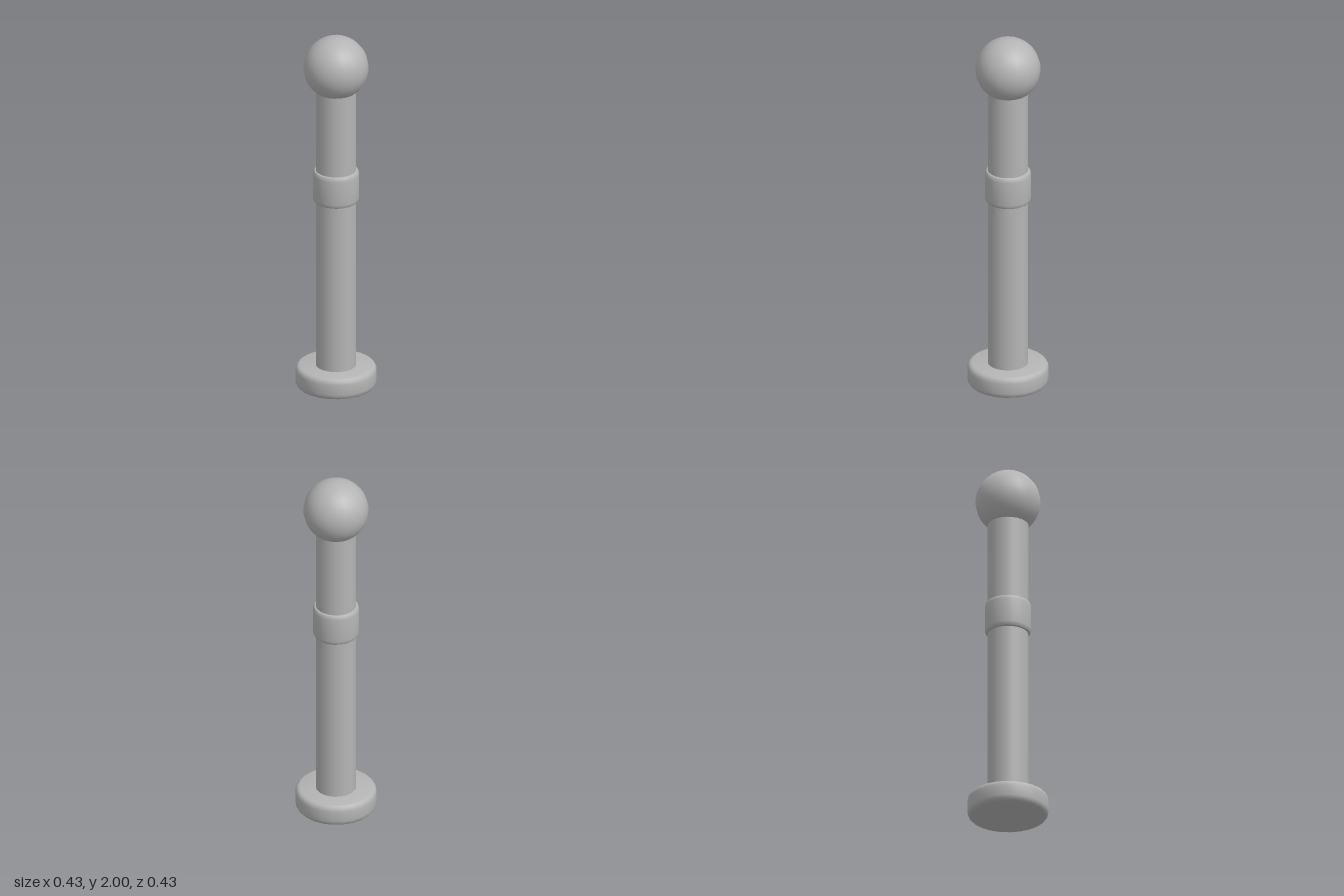
import * as THREE from 'three';
import { toCreasedNormals } from 'three/addons/utils/BufferGeometryUtils.js';

const SIDES = 24;

// Closed disc with rounded top and bottom rims
function roundedDisc(radius, bottom, top, bevelR, bevelY) {
  const points = [new THREE.Vector2(0, bottom)];
  const steps = 3;
  for (let i = 0; i <= steps; i++) {
    const a = (i / steps) * Math.PI / 2;
    points.push(new THREE.Vector2(radius - bevelR * (1 - Math.sin(a)), bottom + bevelY * (1 - Math.cos(a))));
  }
  for (let i = 0; i <= steps; i++) {
    const a = (i / steps) * Math.PI / 2;
    points.push(new THREE.Vector2(radius - bevelR * (1 - Math.cos(a)), top - bevelY * (1 - Math.sin(a))));
  }
  points.push(new THREE.Vector2(0, top));
  return toCreasedNormals(new THREE.LatheGeometry(points, SIDES), 0.6);
}

export function createModel() {
  const group = new THREE.Group();
  const grey = new THREE.MeshStandardMaterial({ color: 0xb4b4b4 });
  grey.name = 'grey metal';

  const add = (name, geometry, y = 0) => {
    const mesh = new THREE.Mesh(geometry, grey);
    mesh.name = name;
    mesh.position.y = y;
    group.add(mesh);
  };

  // Foot, shaft, middle band and ball top
  add('base', roundedDisc(0.215, 0, 0.118, 0.024, 0.03));
  add('shaft', new THREE.CylinderGeometry(0.107, 0.107, 1.62, SIDES), 0.89);
  add('collar', roundedDisc(0.122, 1.06, 1.24, 0.014, 0.024));
  add('ball', new THREE.SphereGeometry(0.172, 20, 20), 1.828);
  return group;
}
